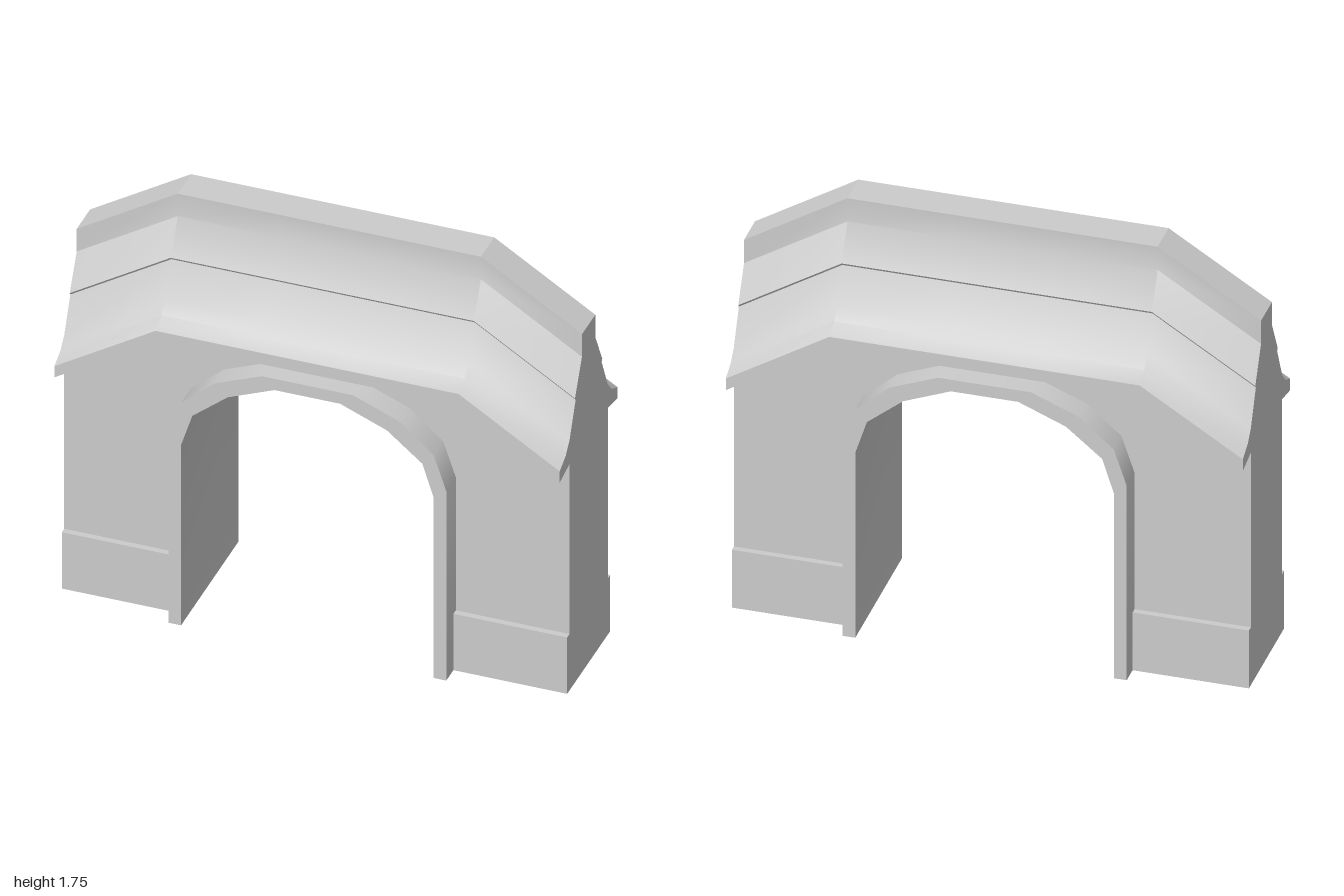
import * as THREE from 'three';
import { toCreasedNormals } from 'three/addons/utils/BufferGeometryUtils.js';

const CREASE = THREE.MathUtils.degToRad(30.5);

// Closed shape from right-hand points, mirrored to the left
function mirroredShape(points) {
  const left = points.map(([x, y]) => [-x, y]).reverse();
  return new THREE.Shape([...points, ...left].map(([x, y]) => new THREE.Vector2(x, y)));
}

// Extrusion centred on z = 0
function slab(shape, depth) {
  const geometry = new THREE.ExtrudeGeometry(shape, { depth, bevelEnabled: false });
  geometry.translate(0, 0, -depth / 2);
  return toCreasedNormals(geometry, CREASE);
}

export function createModel() {
  const group = new THREE.Group();
  const stone = new THREE.MeshStandardMaterial({ color: 0xcccccc });
  stone.name = 'stone';
  const add = (name, geometry) => {
    const mesh = new THREE.Mesh(geometry, stone);
    mesh.name = name;
    group.add(mesh);
    return mesh;
  };

  // Right half of the arch opening and of the trim around it
  const inner = [[0.5, 0], [0.5, 0.8], [0.455, 0.94], [0.315, 1.055], [0.13, 1.13]];
  const outer = [[0.55, 0], [0.55, 0.84], [0.5, 0.988], [0.367, 1.105], [0.18, 1.18]];

  // Wall, open around the trim
  const wallEdge = [[0.6, 1.255], [1, 1.005], [1, 0]];
  add('wall', slab(mirroredShape([...outer].reverse().concat([...wallEdge].reverse())), 0.4));

  // Projecting arch trim, including the inside of the passage
  add('archTrim', slab(mirroredShape([...inner].reverse().concat(outer)), 0.6));

  // Plinth strips at the foot of each pier
  for (const sx of [-1, 1]) {
    for (const sz of [-1, 1]) {
      const plinth = add('plinth', new THREE.BoxGeometry(0.45, 0.25, 0.025));
      plinth.position.set(sx * 0.775, 0.125, sz * 0.2125);
    }
  }

  // Roof: one flared section swept along x and raised in the middle
  const section = [
    [0.2, 1.005], [0.303, 0.985], [0.303, 1.035], [0.24, 1.065], [0.2, 1.11],
    [0.136, 1.25], [0.143, 1.26], [0.07, 1.4], [0.07, 1.5],
  ];
  const roof = new THREE.ExtrudeGeometry(mirroredShape(section), { depth: 2, steps: 5, bevelEnabled: false });
  roof.translate(0, 0, -1);
  roof.rotateY(Math.PI / 2);
  const pos = roof.attributes.position;
  for (let i = 0; i < pos.count; i++) {
    const rise = Math.min(0.25, (1 - Math.abs(pos.getX(i))) * 0.625);
    pos.setY(i, pos.getY(i) + rise);
  }
  add('roof', toCreasedNormals(roof, CREASE));

  return group;
}
